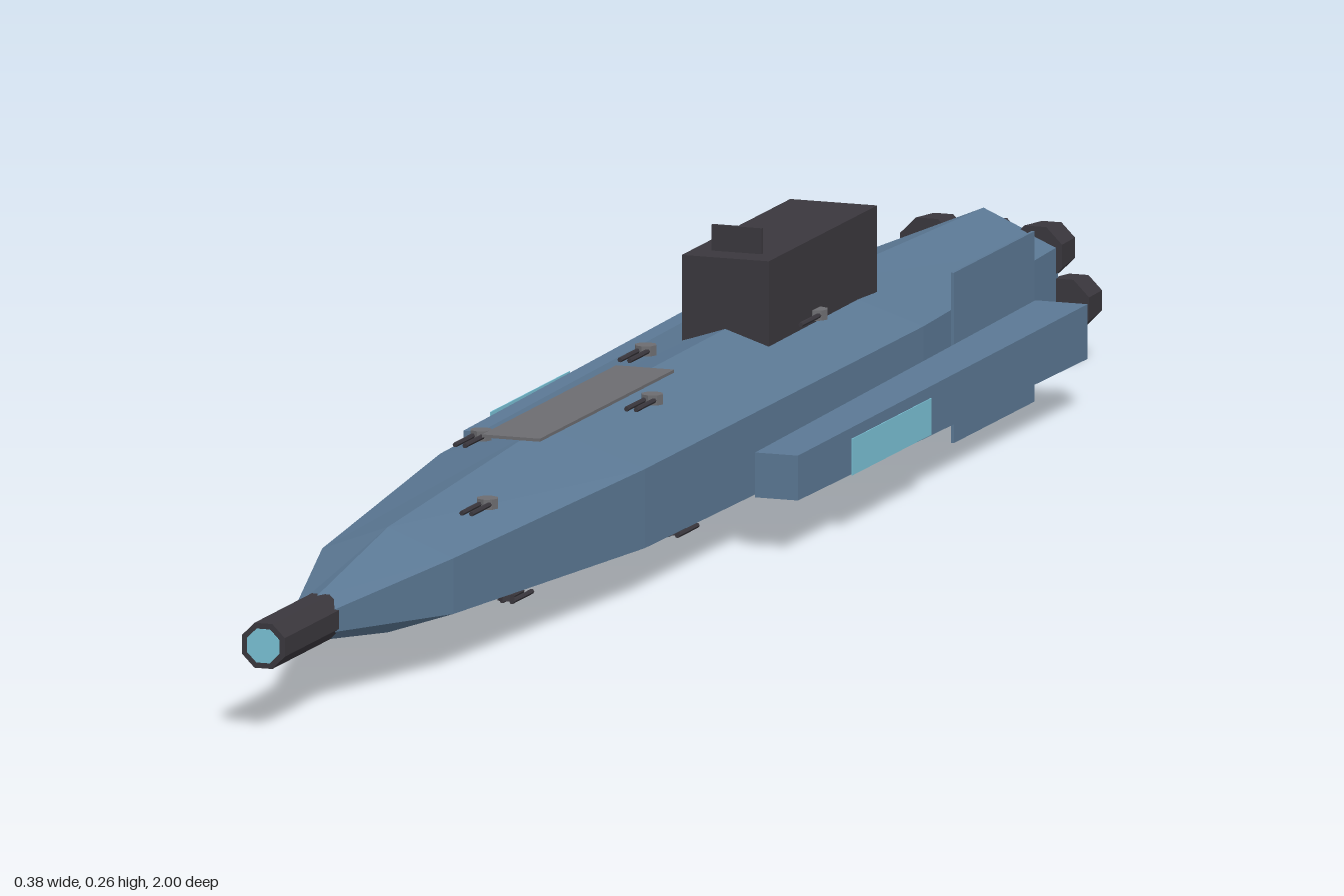
import * as THREE from 'three';

const mat = (name, color, extra = {}) => {
  const m = new THREE.MeshStandardMaterial({ color, flatShading: true, ...extra });
  m.name = name;
  return m;
};

// Faceted shell from rings listed nose to tail, each ring anticlockwise seen from the front
function loft(rings) {
  const p = [];
  const tri = (a, b, c) => p.push(...a, ...b, ...c);
  const n = rings[0].length;
  for (let i = 0; i < rings.length - 1; i++) {
    for (let j = 0; j < n; j++) {
      const k = (j + 1) % n, A = rings[i], B = rings[i + 1];
      tri(A[j], B[j], A[k]);
      tri(A[k], B[j], B[k]);
    }
  }
  const first = rings[0], last = rings[rings.length - 1];
  for (let j = 1; j < n - 1; j++) {
    tri(first[0], first[j], first[j + 1]);
    tri(last[0], last[j + 1], last[j]);
  }
  const g = new THREE.BufferGeometry();
  g.setAttribute('position', new THREE.Float32BufferAttribute(p, 3));
  g.computeVertexNormals();
  return g;
}

export function createModel() {
  const root = new THREE.Group();
  root.name = 'spaceship';
  const blue = mat('hull blue', 0x5b7894);
  const dark = mat('dark metal', 0x3a373d);
  const grey = mat('hatch grey', 0x6c6c70);
  const glow = mat('cyan glow', 0x7ac2d6, { side: THREE.DoubleSide });

  const add = (name, geo, material, x = 0, y = 0, z = 0, parent = root) => {
    const m = new THREE.Mesh(geo, material);
    m.name = name;
    m.position.set(x, y, z);
    parent.add(m);
    return m;
  };
  const box = (w, h, d) => new THREE.BoxGeometry(w, h, d);
  // Eight-sided tube along z
  const tube = (rFront, rBack, len, sides = 8) =>
    new THREE.CylinderGeometry(rFront, rBack, len, sides).rotateY(Math.PI / sides).rotateX(Math.PI / 2);

  // Hull: z, half width, top, upper side, lower side, bottom
  const sections = [
    [0.86, 0.02, 0.108, 0.098, 0.076, 0.066],
    [0.66, 0.068, 0.141, 0.115, 0.06, 0.037],
    [0.24, 0.106, 0.162, 0.127, 0.049, 0.012],
    [-0.5, 0.113, 0.166, 0.13, 0.045, 0.003],
    [-0.96, 0.077, 0.153, 0.12, 0.052, 0.02],
  ];
  add('hull', loft(sections.map(([z, w, top, hi, lo, bot]) => [
    [0, top, z], [-w, hi, z], [-w, lo, z], [0, bot, z], [w, lo, z], [w, hi, z],
  ])), blue);

  // Nose cannon with glowing muzzle
  add('noseCannon', tube(0.024, 0.024, 0.156), dark, 0, 0.087, 0.921);
  add('noseMuzzle', tube(0.018, 0.018, 0.004), glow, 0, 0.087, 0.998);

  // Command tower
  add('tower', box(0.09, 0.085, 0.295), dark, 0, 0.192, -0.405);
  add('towerScreen', box(0.052, 0.026, 0.004), dark, 0, 0.247, -0.29);

  // Dorsal hatch
  add('dorsalHatch', box(0.06, 0.003, 0.365), grey, 0, 0.166, 0.143);

  // Side pods, fins and glowing panels
  for (const s of [1, -1]) {
    const pod = box(0.054, 0.054, 0.775);
    const pos = pod.attributes.position;
    for (let i = 0; i < pos.count; i++) {
      if (pos.getZ(i) > 0) pos.setXY(i, pos.getX(i) * 0.82, pos.getY(i) * 0.82);
    }
    pod.computeVertexNormals();
    add('sidePod', pod, blue, s * 0.151, 0.078, -0.3875);
    add('sideFin', box(0.003, 0.168, 0.22), blue, s * 0.118, 0.087, -0.675);
    add('sidePanel', box(0.001, 0.036, 0.215), glow, s * 0.187, 0.079, -0.218);
  }

  // Engine bells: three above four
  for (const [count, y] of [[3, 0.112], [4, 0.062]]) {
    for (let i = 0; i < count; i++) {
      const x = (i - (count - 1) / 2) * 0.056;
      add('engineBell', tube(0.03, 0.026, 0.045), dark, x, y, -0.976);
      add('engineGlow', tube(0.019, 0.019, 0.004), glow, x, y, -0.998);
    }
  }

  // Twin-barrel turrets, alternating sides, above and below
  for (let i = 0; i < 5; i++) {
    const x = i % 2 ? -0.046 : 0.046;
    const top = new THREE.Group();
    top.name = 'dorsalTurret';
    top.position.set(x, i === 0 ? 0.14 : 0.159, 0.51 - i * 0.224);
    root.add(top);
    add('turretBase', new THREE.CylinderGeometry(0.011, 0.011, 0.01, 8), grey, 0, 0, 0, top);

    const bottom = new THREE.Group();
    bottom.name = 'ventralTurret';
    bottom.position.set(x, i === 0 ? 0.033 : 0.014, 0.46 - i * 0.225);
    bottom.rotation.x = Math.PI;
    root.add(bottom);
    add('turretBase', new THREE.CylinderGeometry(0.009, 0.009, 0.006, 8), dark, 0, -0.005, 0, bottom);

    for (const g of [top, bottom]) {
      for (const s of [1, -1]) add('turretBarrel', tube(0.0025, 0.0025, 0.055, 6), dark, s * 0.005, 0, 0.03, g);
    }
  }
  return root;
}
